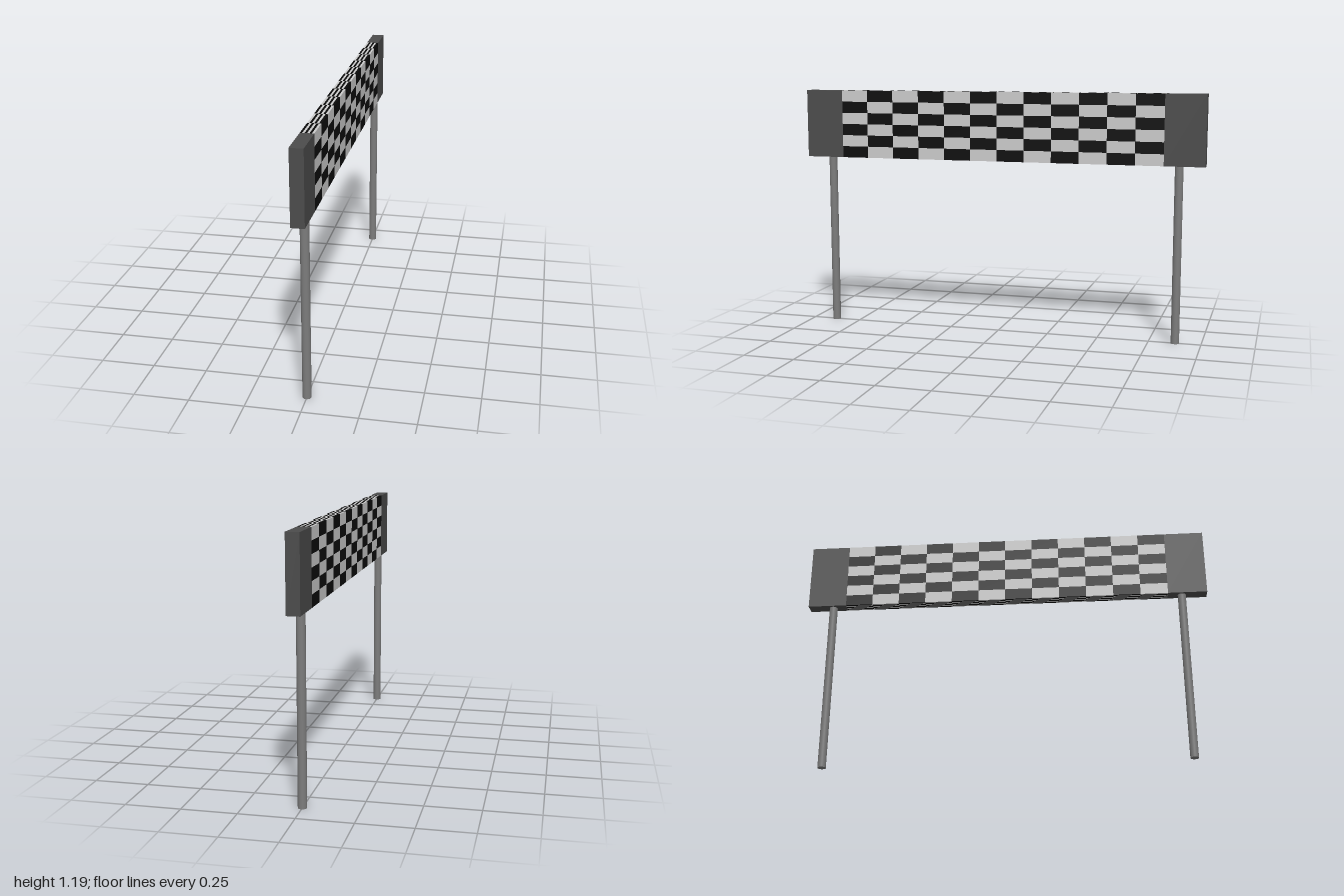
import * as THREE from 'three';
import { mergeGeometries } from 'three/addons/utils/BufferGeometryUtils.js';

const mat = (color) => new THREE.MeshStandardMaterial({ color });

// Banner dimensions
const W = 0.06, Y0 = 0.85, H = 0.336, CHECK = 1.616;
const NX = 6, NY = 6, NZ = 12;
const SX = W / NX, SY = H / NY, SZ = CHECK / NZ;

export function createModel() {
  const model = new THREE.Group();
  const add = (geometry, material, name, x = 0, y = 0, z = 0) => {
    const mesh = new THREE.Mesh(geometry, material);
    mesh.name = name;
    mesh.position.set(x, y, z);
    model.add(mesh);
  };

  // Posts and solid end blocks, mirrored front to back
  const postMat = mat(0x7c7c7c), blockMat = mat(0x4c4c4c);
  const blockLength = 1 - CHECK / 2;
  for (const s of [1, -1]) {
    const side = s > 0 ? 'front' : 'back';
    add(new THREE.CylinderGeometry(0.02, 0.02, Y0, 24), postMat, side + 'Post', 0, Y0 / 2, s * 0.877);
    add(new THREE.BoxGeometry(W, H, blockLength), blockMat, side + 'EndBlock',
      0, Y0 + H / 2, s * (1 - blockLength / 2));
  }

  // Chequered banner: light and dark tiles on all four long faces
  const tiles = [[], []];
  const tile = (i, j, k, w, h, turn, x, y) => {
    const g = new THREE.PlaneGeometry(w, h);
    turn(g);
    g.translate(x, y, (k + 0.5) * SZ - CHECK / 2);
    tiles[(i + j + k) % 2].push(g);
  };
  for (let k = 0; k < NZ; k++) {
    for (const s of [1, -1]) {
      for (let j = 0; j < NY; j++) {
        tile(s > 0 ? NX - 1 : 0, j, k, SZ, SY, (g) => g.rotateY(s * Math.PI / 2),
          s * W / 2, Y0 + (j + 0.5) * SY);
      }
      for (let i = 0; i < NX; i++) {
        tile(i, s > 0 ? NY - 1 : 0, k, SX, SZ, (g) => g.rotateX(-s * Math.PI / 2),
          (i + 0.5) * SX - W / 2, s > 0 ? Y0 + H : Y0);
      }
    }
  }
  add(mergeGeometries(tiles[1]), mat(0xe6e6e6), 'lightTiles');
  add(mergeGeometries(tiles[0]), mat(0x0c0c0c), 'darkTiles');

  return model;
}
